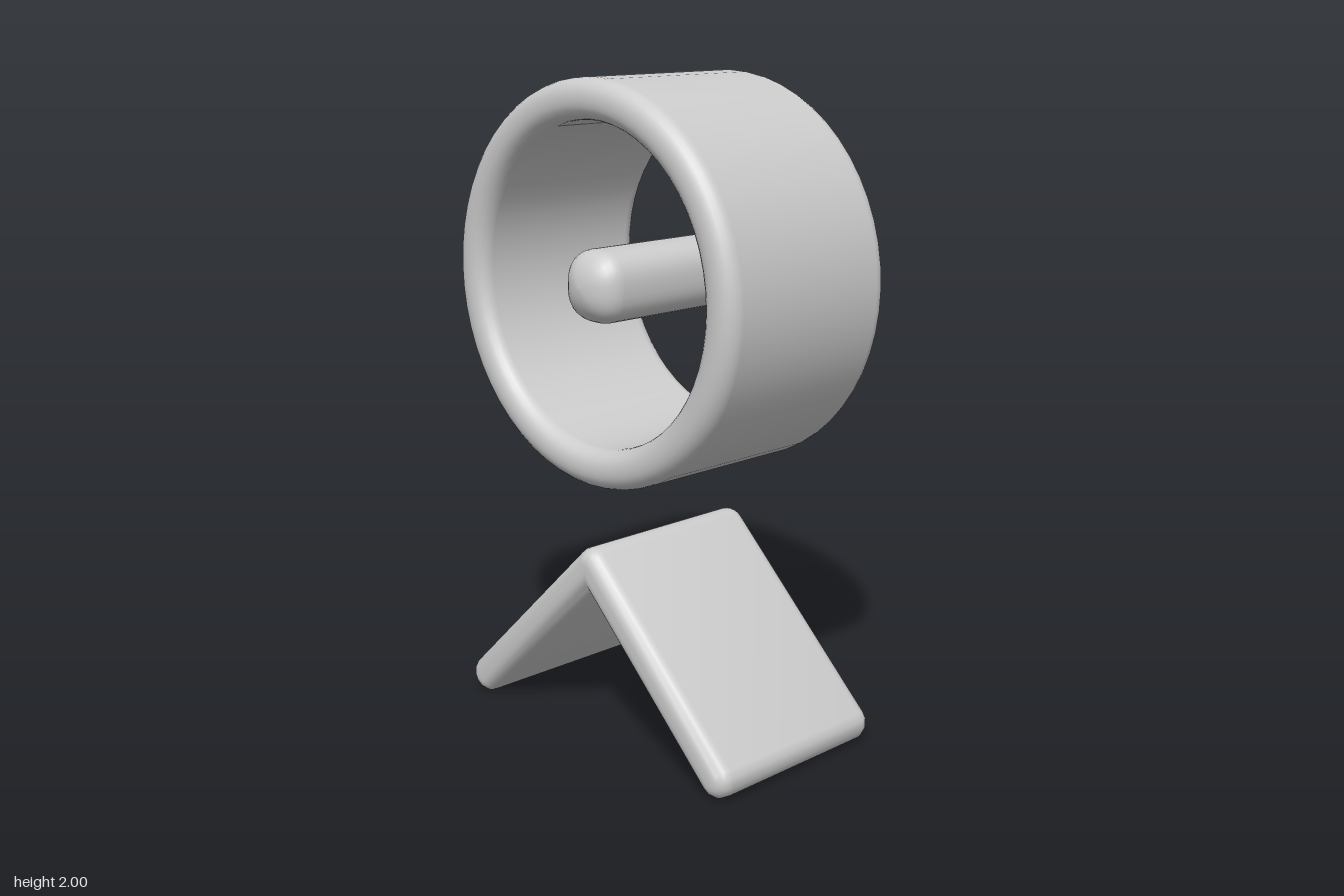
import * as THREE from 'three';
import { mergeVertices, toCreasedNormals } from 'three/addons/utils/BufferGeometryUtils.js';

const HALF_DEPTH = 0.325;
const HUB_Y = 1.405;

// Quarter-round arc points for a lathe profile
function arc(cx, cy, r, from, to, steps = 6) {
  return Array.from({ length: steps + 1 }, (_, i) => {
    const a = from + ((to - from) * i) / steps;
    return new THREE.Vector2(cx + r * Math.cos(a), cy + r * Math.sin(a));
  });
}

// Wide band: rounded-rectangle section turned around the z axis
function ringGeometry() {
  const inner = 0.475, outer = 0.595, r = 0.054, h = HALF_DEPTH - r, q = Math.PI / 2;
  const profile = [
    new THREE.Vector2(outer, 0),
    ...arc(outer - r, h, r, 0, q),
    ...arc(inner + r, h, r, q, 2 * q),
    ...arc(inner + r, -h, r, 2 * q, 3 * q),
    ...arc(outer - r, -h, r, 3 * q, 4 * q),
    new THREE.Vector2(outer, 0),
  ];
  return new THREE.LatheGeometry(profile, 56).rotateX(Math.PI / 2);
}

// Central rod: domed ends, slightly squared cross-section
function rodGeometry() {
  const R = 0.107, end = 0.335, dome = 0.085, q = Math.PI / 2;
  const top = arc(0, 0, 1, 0, q, 8).map(
    (p) => new THREE.Vector2(Math.max(0, p.x) * R, end - dome + p.y * dome));
  const bottom = top.map((p) => new THREE.Vector2(p.x, -p.y)).reverse();
  const geo = new THREE.LatheGeometry([...bottom, ...top], 32).rotateX(q);
  const pos = geo.attributes.position;
  for (let i = 0; i < pos.count; i++) {
    const a = Math.atan2(pos.getY(i), pos.getX(i));
    const k = Math.pow(Math.abs(Math.cos(a)) ** 2.6 + Math.abs(Math.sin(a)) ** 2.6, -1 / 2.6);
    pos.setXY(i, pos.getX(i) * k, pos.getY(i) * k);
  }
  geo.computeVertexNormals();
  return geo;
}

// Bent plate: a thin chevron swollen by a round bevel
function chevronGeometry() {
  const core = 0.012, bevel = 0.046, apexY = 0.56, tipX = 0.525, tipY = 0.058;
  const n = Math.atan2(tipX, apexY - tipY); // direction normal to the right leg
  const shape = new THREE.Shape([
    ...arc(tipX, tipY, core, n - Math.PI, n),
    ...arc(0, apexY, core, n, Math.PI - n),
    ...arc(-tipX, tipY, core, Math.PI - n, 2 * Math.PI - n),
    new THREE.Vector2(0, apexY - core / Math.sin(n)),
  ]);
  const depth = 2 * (HALF_DEPTH - bevel);
  const geo = new THREE.ExtrudeGeometry(shape, {
    depth, bevelEnabled: true, bevelSize: bevel, bevelThickness: bevel, bevelSegments: 6,
  });
  geo.translate(0, 0, -depth / 2);
  geo.deleteAttribute('uv');
  geo.deleteAttribute('normal');
  geo.clearGroups();
  return toCreasedNormals(mergeVertices(geo, 1e-5), 0.9);
}

export function createModel() {
  const group = new THREE.Group();
  const grey = new THREE.MeshStandardMaterial({ color: 0xcccccc });
  grey.name = 'light grey';

  const add = (name, geometry, y) => {
    const mesh = new THREE.Mesh(geometry, grey);
    mesh.name = name;
    mesh.position.y = y;
    group.add(mesh);
  };
  add('ring', ringGeometry(), HUB_Y);
  add('centralRod', rodGeometry(), HUB_Y);
  add('chevronBase', chevronGeometry(), 0);
  return group;
}
